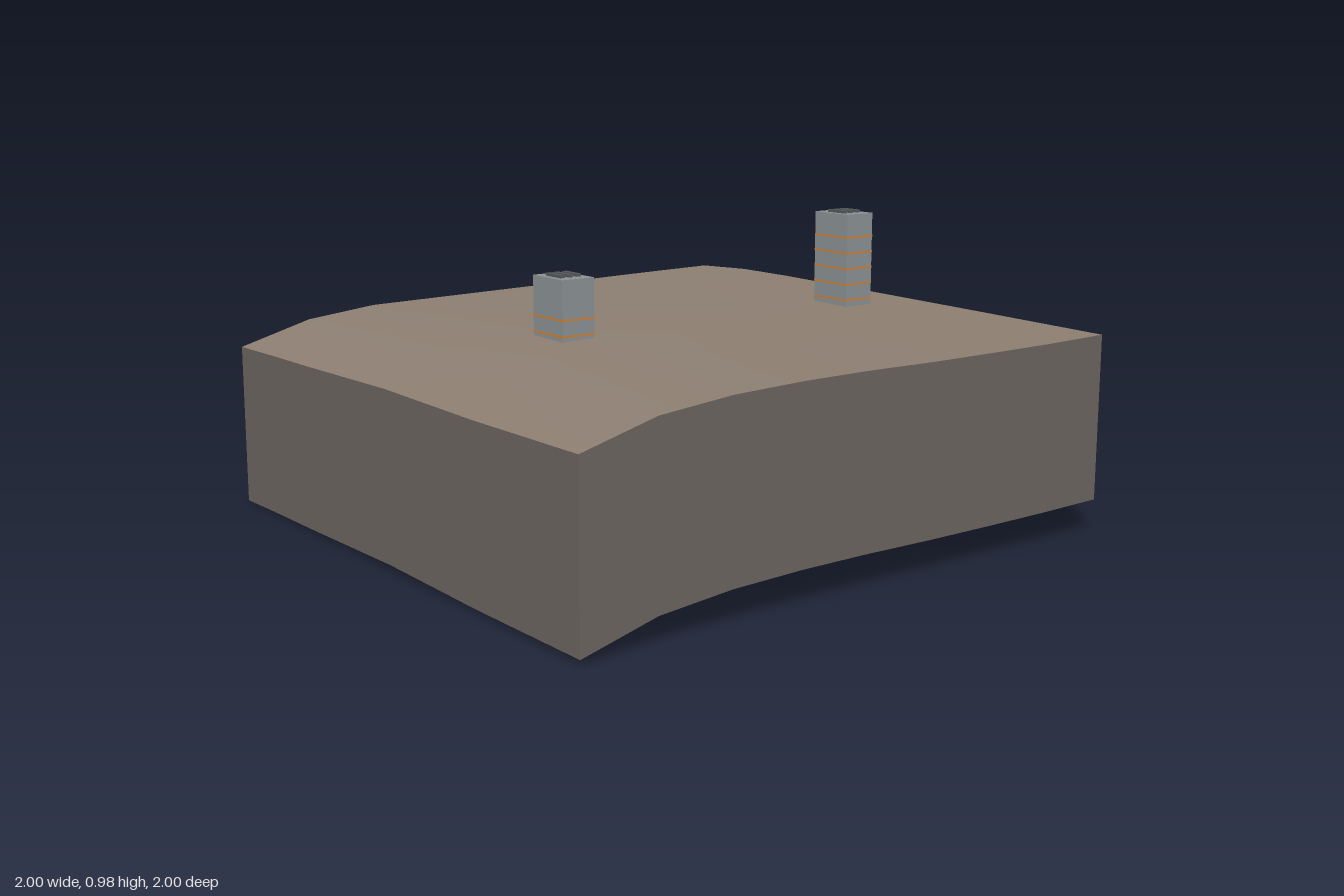
import * as THREE from 'three';

const mat = (name, color, side = THREE.FrontSide) => {
  const m = new THREE.MeshStandardMaterial({ color, side });
  m.name = name;
  return m;
};

// ground cross-sections: z followed by heights at nine even steps from x = -1 to 1
const SECTIONS = [
  [-1, 0.535, 0.605, 0.632, 0.636, 0.64, 0.644, 0.648, 0.652, 0.655],
  [-0.75, 0.54, 0.611, 0.642, 0.65, 0.652, 0.655, 0.658, 0.663, 0.667],
  [-0.5, 0.543, 0.613, 0.645, 0.655, 0.658, 0.66, 0.663, 0.665, 0.667],
  [0, 0.553, 0.62, 0.658, 0.668, 0.672, 0.667, 0.662, 0.66, 0.66],
  [0.5, 0.547, 0.617, 0.648, 0.655, 0.655, 0.65, 0.648, 0.65, 0.652],
  [1, 0.55, 0.615, 0.638, 0.645, 0.645, 0.641, 0.64, 0.64, 0.643],
];
const STEPS = 8;
const DEPTH = 0.535;

function groundHeight(x, z) {
  const column = Math.round((x + 1) * STEPS / 2) + 1;
  let i = 0;
  while (i < SECTIONS.length - 2 && z > SECTIONS[i + 1][0]) i++;
  const a = SECTIONS[i], b = SECTIONS[i + 1];
  return THREE.MathUtils.lerp(a[column], b[column], (z - a[0]) / (b[0] - a[0]));
}

// vertical wall under one edge of the ground, running from corner a to corner b
function wallGeometry([ax, az], [bx, bz]) {
  const g = new THREE.PlaneGeometry(1, 1, STEPS, 1);
  const p = g.attributes.position;
  for (let i = 0; i < p.count; i++) {
    const t = p.getX(i) + 0.5;
    const x = THREE.MathUtils.lerp(ax, bx, t), z = THREE.MathUtils.lerp(az, bz, t);
    p.setXYZ(i, x, groundHeight(x, z) - (p.getY(i) > 0 ? 0 : DEPTH), z);
  }
  g.computeVertexNormals();
  return g;
}

export function createModel() {
  const model = new THREE.Group();
  model.name = 'terrainBlockWithTowers';
  const soil = mat('soil', 0x8b7d70, THREE.DoubleSide);
  const earth = mat('darkEarth', 0x6b645f, THREE.DoubleSide);
  const concrete = mat('concrete', 0x8a9094);
  const orange = mat('orange', 0xc9803a);
  const dark = mat('darkGrey', 0x55585a);

  const add = (parent, name, geometry, material, x = 0, y = 0, z = 0) => {
    const mesh = new THREE.Mesh(geometry, material);
    mesh.name = name;
    mesh.position.set(x, y, z);
    parent.add(mesh);
  };

  // rolling ground surface
  const ground = new THREE.PlaneGeometry(2, 2, STEPS, STEPS).rotateX(-Math.PI / 2);
  const p = ground.attributes.position;
  for (let i = 0; i < p.count; i++) p.setY(i, groundHeight(p.getX(i), p.getZ(i)));
  ground.computeVertexNormals();
  add(model, 'ground', ground, soil);

  // four side walls, open underneath
  const corners = [[-1, 1], [1, 1], [1, -1], [-1, -1]];
  ['frontWall', 'leftWall', 'backWall', 'rightWall'].forEach((name, i) =>
    add(model, name, wallGeometry(corners[i], corners[(i + 1) % 4]), earth));

  // towers with thin bands and three roof vents
  const W = 0.116, D = 0.16, BASE = 0.65;
  const tower = (name, x, top, bands) => {
    const g = new THREE.Group();
    g.name = name;
    g.position.set(x, 0, 0.08);
    add(g, 'towerBody', new THREE.BoxGeometry(W, top - BASE, D), concrete, 0, (top + BASE) / 2);
    for (const y of bands)
      add(g, 'floorBand', new THREE.BoxGeometry(W + 0.002, 0.007, D + 0.002), orange, 0, y);
    for (const vx of [-0.03, 0, 0.03])
      add(g, 'roofVent', new THREE.BoxGeometry(0.016, 0.01, 0.08), dark, vx, top + 0.004);
    model.add(g);
  };
  tower('shortTower', -0.418, 0.846, [0.722, 0.672]);
  tower('tallTower', 0.747, 0.972, [0.679, 0.733, 0.786, 0.84, 0.893]);

  return model;
}
